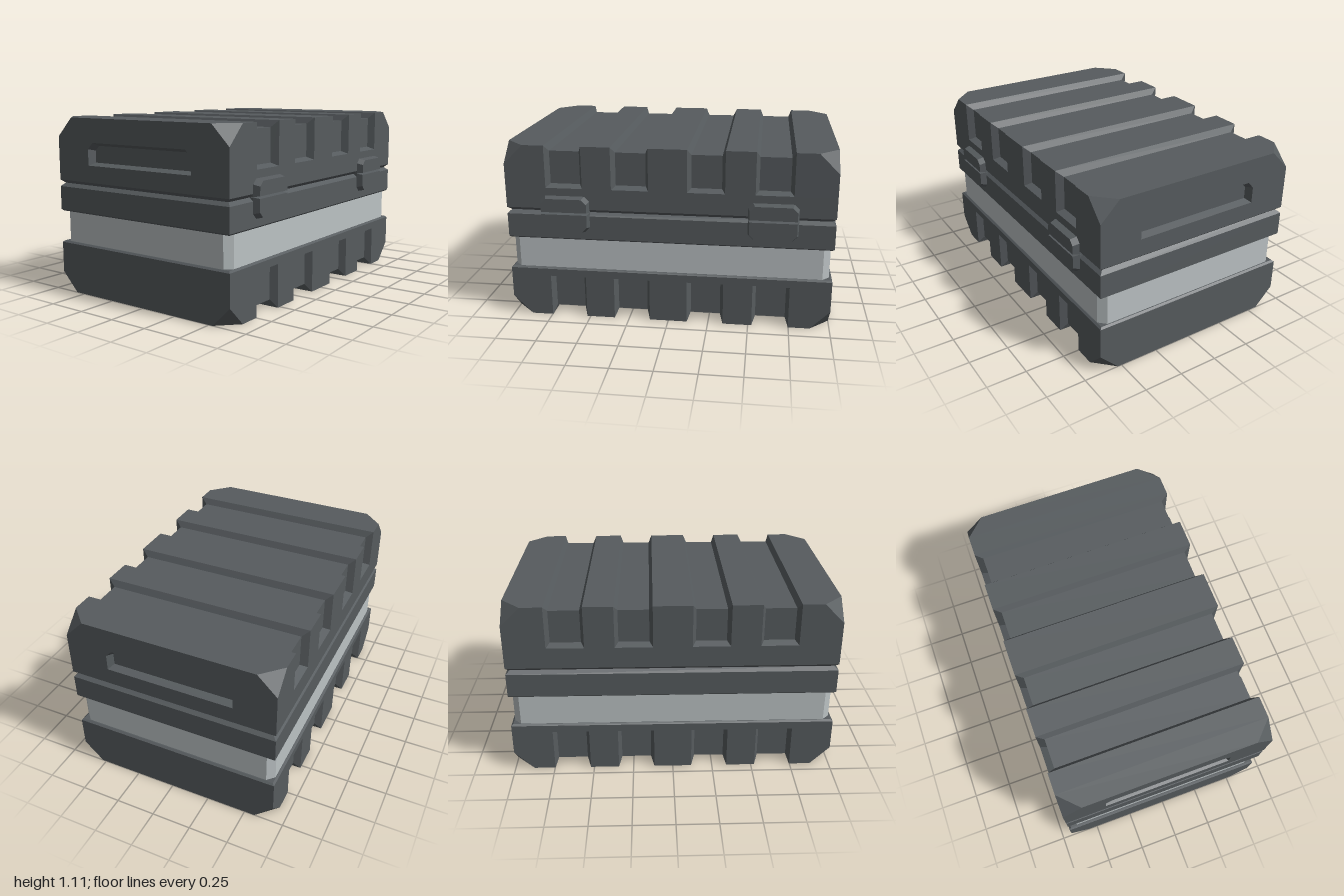
import * as THREE from 'three';

const V = (x, y, z) => new THREE.Vector3(x, y, z);
const HALF_X = 1, HALF_Z = 0.665, CUT = 0.12, GROOVE = 0.045, SLOPE = 0.021;

// Flat-shaded geometry from a list of triangles, skipping collapsed ones
function solid(tris) {
  const keep = tris.filter(t => new THREE.Triangle(...t).getArea() > 1e-7);
  const geo = new THREE.BufferGeometry().setFromPoints(keep.flat());
  geo.computeVertexNormals();
  return geo;
}

// Triangles between successive rings of equal point count
function loft(rings, { closed = true, flip = false } = {}) {
  const tris = [];
  for (let i = 0; i + 1 < rings.length; i++) {
    const n = rings[i].length;
    for (let j = 0; j < (closed ? n : n - 1); j++) {
      const k = (j + 1) % n;
      const [a, b, c, d] = [rings[i][j], rings[i + 1][j], rings[i + 1][k], rings[i][k]];
      tris.push(...(flip ? [[a, c, b], [a, d, c]] : [[a, b, c], [a, c, d]]));
    }
  }
  return tris;
}

// Flat polygon, optionally with a hole, turned to face the given direction
function cap(ring, facing, hole = []) {
  const flat = p => Math.abs(facing.x) > 0.5 ? new THREE.Vector2(p.z, p.y)
    : Math.abs(facing.y) > 0.5 ? new THREE.Vector2(p.x, p.z) : new THREE.Vector2(p.x, p.y);
  let outer = [...ring], inner = [...hole];
  if (THREE.ShapeUtils.isClockWise(outer.map(flat))) outer.reverse();
  if (inner.length && !THREE.ShapeUtils.isClockWise(inner.map(flat))) inner.reverse();
  const pts = [...outer, ...inner];
  return THREE.ShapeUtils.triangulateShape(outer.map(flat), inner.length ? [inner.map(flat)] : [])
    .map(f => f.map(i => pts[i]))
    .map(t => new THREE.Triangle(...t).getNormal(V(0, 0, 0)).dot(facing) < 0 ? [t[0], t[2], t[1]] : t);
}

// Half of the case: grooves wrap over front, end face and back, corners are cut off
function shell({ edge, end, floor, grooveOuter, grooveInner, handle }) {
  const s = Math.sign(end - edge);
  const section = (x, cut, sunk) => {
    const z = HALF_Z - (sunk ? GROOVE : 0), y = sunk ? floor : end;
    const half = [
      [HALF_Z, edge], [HALF_Z, grooveOuter], [z, sunk ? grooveInner : grooveOuter],
      [z, y - s * cut], [z - cut, y],
    ];
    return [...half.map(p => V(x, p[1], p[0])), ...half.reverse().map(p => V(x, p[1], -p[0]))];
  };
  const sections = [section(-HALF_X, CUT), section(-HALF_X + CUT, 0)];
  for (const x of [-0.635, -0.23, 0.23, 0.635]) {
    const o = 0.113, i = o - SLOPE;
    sections.push(section(x - o, 0), section(x - i, 0, true), section(x + i, 0, true), section(x + o, 0));
  }
  sections.push(section(HALF_X - CUT, 0), section(HALF_X, CUT));
  const tris = loft(sections, { closed: false, flip: s < 0 });

  // End faces, with a hand recess where wanted
  for (const side of [-1, 1]) {
    const ring = sections[side < 0 ? 0 : sections.length - 1];
    const facing = V(side, 0, 0);
    if (!handle) { tris.push(...cap(ring, facing)); continue; }
    const recess = (x, w, y0, y1, c) => [
      [w, y0], [w, y1 - c], [w - c, y1], [-w + c, y1], [-w, y1 - c], [-w, y0],
    ].map(p => V(side * x, p[1], p[0]));
    const mouth = recess(HALF_X, 0.403, 0.822, 0.962, 0.04);
    const back = recess(HALF_X - GROOVE, 0.383, 0.838, 0.942, 0.03);
    tris.push(...cap(ring, facing, mouth), ...cap(back, facing));
    tris.push(...loft([mouth, back], { flip: side < 0 }));
  }
  return solid(tris);
}

// Rectangular band from [y, inset] levels, bottom to top
function band(levels) {
  const rings = levels.map(([y, d]) => {
    const x = HALF_X - d, z = HALF_Z - d;
    return [V(x, y, z), V(x, y, -z), V(-x, y, -z), V(-x, y, z)];
  });
  return solid([
    ...loft(rings, { flip: true }),
    ...cap(rings[0], V(0, -1, 0)), ...cap(rings[rings.length - 1], V(0, 1, 0)),
  ]);
}

// Tapered latch plate with two chamfered corners on its outer edge
function latchPlate(yInner, yOuter) {
  const s = Math.sign(yOuter - yInner);
  const ring = (z, d) => {
    const w = 0.151 - d, c = 0.03, a = yInner + s * d * 0.6, b = yOuter - s * d;
    return [[-w, a], [w, a], [w, b - s * c], [w - c, b], [-w + c, b], [-w, b - s * c]]
      .map(p => V(p[0], p[1], z));
  };
  const rings = [ring(HALF_Z - 0.03, 0), ring(HALF_Z, 0), ring(HALF_Z + 0.04, 0.01)];
  return solid([...loft(rings, { flip: s > 0 }), ...cap(rings[2], V(0, 0, 1))]);
}

export function createModel() {
  const dark = new THREE.MeshStandardMaterial({ color: 0x565b5e });
  dark.name = 'darkGrey';
  const light = new THREE.MeshStandardMaterial({ color: 0xbbc2c4 });
  light.name = 'lightGrey';

  const model = new THREE.Group();
  model.name = 'storageCase';
  const body = new THREE.Group();
  body.name = 'caseBody';
  body.position.z = -0.02;
  model.add(body);
  const add = (name, geo, mat = dark, parent = body) => {
    const mesh = new THREE.Mesh(geo, mat);
    mesh.name = name;
    parent.add(mesh);
    return mesh;
  };

  // Lid and base
  add('lid', shell({
    edge: 0.717, end: 1.11, floor: 1.07, grooveOuter: 0.848, grooveInner: 0.866, handle: true,
  }));
  add('base', shell({
    edge: 0.314, end: 0, floor: 0.048, grooveOuter: 0.267, grooveInner: 0.247, handle: false,
  }));
  add('baseLip', band([[0.314, 0], [0.324, 0.012]]));

  // Rim below the lid, with the V-shaped seam
  add('rim', band([[0.517, 0.012], [0.527, 0], [0.675, 0], [0.696, 0.024], [0.717, 0]]));

  // Light band with chamfered upright edges
  const x = 0.982, z = 0.65, c = 0.042;
  const outline = new THREE.Shape([
    [x, z - c], [x - c, z], [c - x, z], [-x, z - c], [-x, c - z], [c - x, -z], [x - c, -z], [x, c - z],
  ].map(p => new THREE.Vector2(...p)));
  const core = new THREE.ExtrudeGeometry(outline, { depth: 0.21, bevelEnabled: false });
  core.rotateX(-Math.PI / 2);
  add('lightBand', core, light).position.y = 0.315;

  // Front latches
  for (const side of [-1, 1]) {
    const latch = new THREE.Group();
    latch.name = side > 0 ? 'leftLatch' : 'rightLatch';
    latch.position.x = side * 0.632;
    add('latchUpper', latchPlate(0.7, 0.8), dark, latch);
    add('latchLower', latchPlate(0.698, 0.574), dark, latch);
    body.add(latch);
  }
  return model;
}
